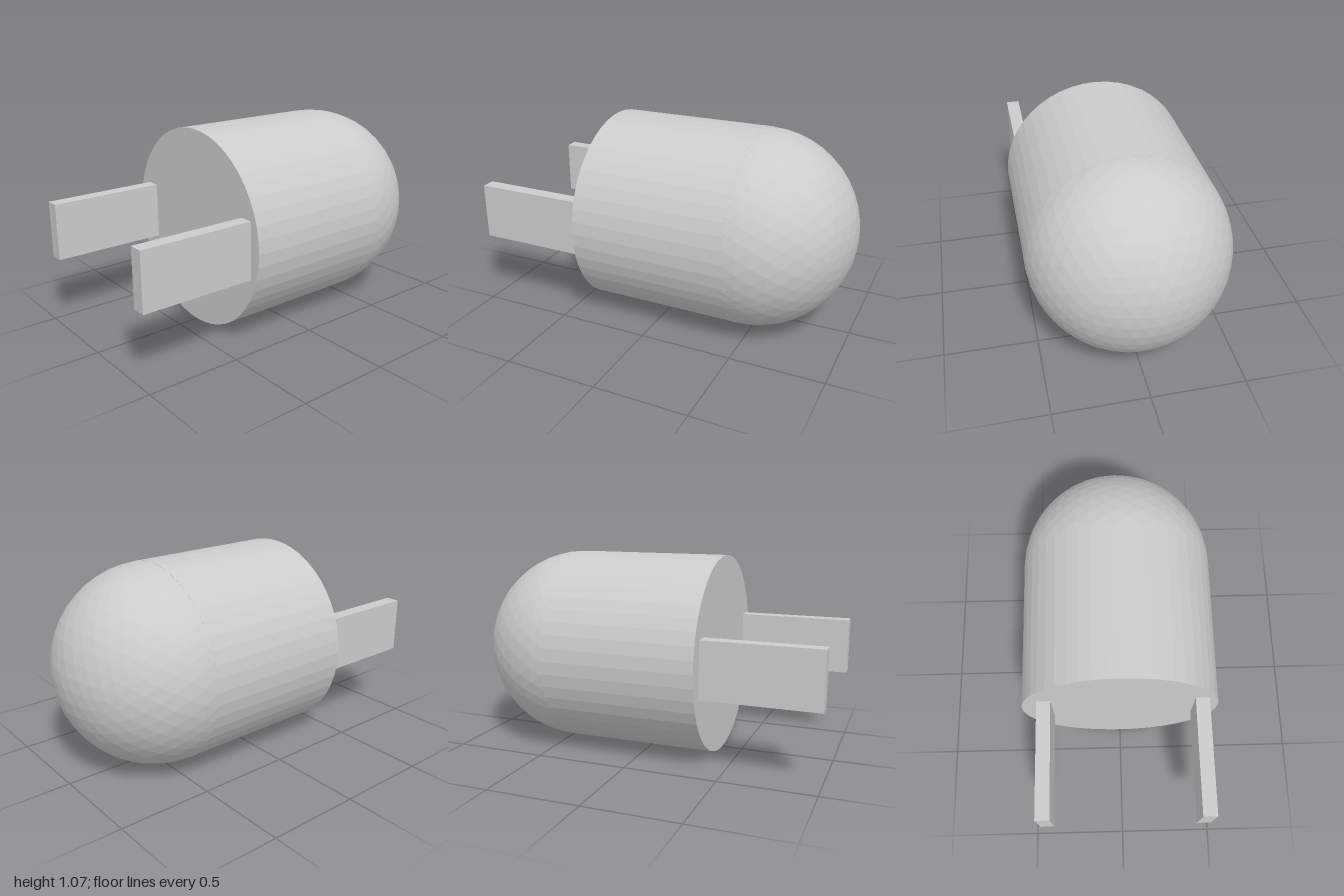
import * as THREE from 'three';

const RADIUS = 0.537;
const BACK = -0.385;       // flat end of the body
const DOME_CENTRE = 0.458; // where the barrel meets the dome

export function createModel() {
  const group = new THREE.Group();
  const material = new THREE.MeshStandardMaterial({ color: 0xcccccc, flatShading: true });

  const add = (name, geometry, x, y, z) => {
    const mesh = new THREE.Mesh(geometry, material);
    mesh.name = name;
    mesh.position.set(x, y, z);
    group.add(mesh);
  };

  // Barrel lying along x
  const length = DOME_CENTRE - BACK;
  const barrel = new THREE.CylinderGeometry(RADIUS, RADIUS, length, 48).rotateZ(-Math.PI / 2);
  add('barrel', barrel, BACK + length / 2, RADIUS, 0);

  // Faceted dome: a geodesic ball, its inner half buried in the barrel
  add('dome', new THREE.IcosahedronGeometry(RADIUS, 7), DOME_CENTRE, RADIUS, 0);

  // Two flat prongs, rooted slightly inside the barrel
  const root = BACK + 0.02;
  for (const [name, z] of [['leftProng', -0.407], ['rightProng', 0.438]]) {
    add(name, new THREE.BoxGeometry(root + 1, 0.305, 0.075), (root - 1) / 2, 0.542, z);
  }

  return group;
}
